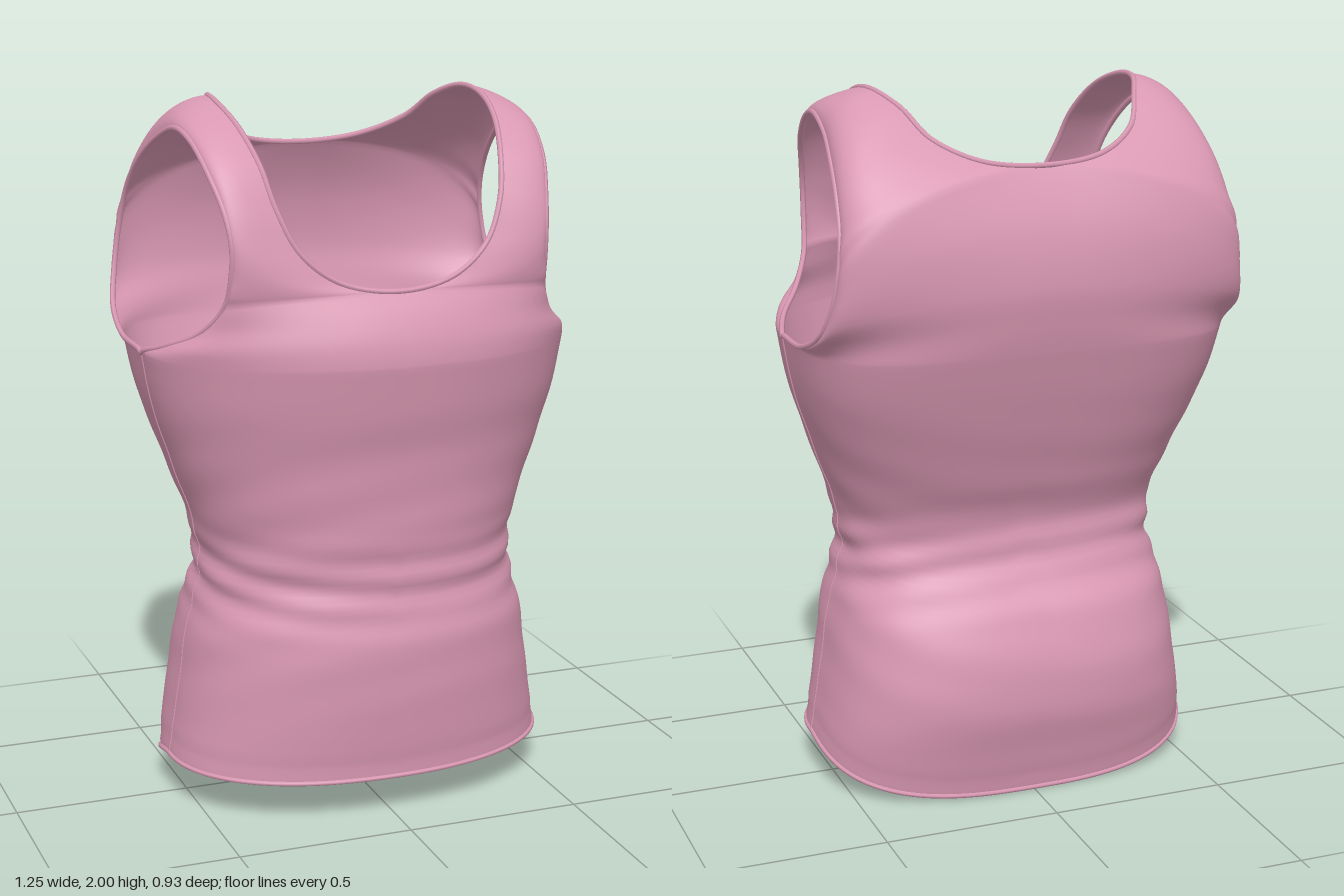
import * as THREE from 'three';
import { mergeVertices } from 'three/addons/utils/BufferGeometryUtils.js';

const COLS = 24;      // columns from centre line to side seam or armhole
const LOW = 64;       // rows from hem to armpit
const SUB = 6;        // rows between two upper sections
const TOP = 1.31;     // armpit height
const SEAM = 0.02;    // z of the side seam
const FRONT_E = .9, BACK_E = .72;   // squareness of the outlines, 1 = ellipse
const V = (x, y, z) => new THREE.Vector3(x, y, z);

// Half width, front depth and back depth at equal height steps from 0 to TOP
const body = new THREE.CatmullRomCurve3([
  V(.55, .38, -.33), V(.555, .385, -.36), V(.535, .40, -.39), V(.515, .41, -.385),
  V(.495, .41, -.345), V(.46, .385, -.27), V(.465, .39, -.25), V(.505, .40, -.30),
  V(.55, .413, -.35), V(.588, .442, -.395), V(.611, .465, -.435),
], false, 'catmullrom');

// Centre line, then neck edge, then centre line: up the front, over the strap, down the back
const inner = [
  [0, 1.38, .457], [0, 1.45, .43], [0, 1.507, .395], [.16, 1.535, .378], [.265, 1.615, .356],
  [.32, 1.73, .32], [.345, 1.84, .262], [.37, 1.93, .16], [.385, 1.982, .02],
  [.375, 1.99, -.10], [.335, 1.955, -.20], [.285, 1.885, -.29], [.17, 1.83, -.36],
  [0, 1.812, -.377], [0, 1.66, -.445], [0, 1.50, -.468], [0, 1.40, -.455],
];
// Matching points round the armhole, each with the bulge in z between the two edges
const outer = [
  [.58, 1.343, .115, 0], [.505, 1.40, .235, 0], [.46, 1.48, .305, 0], [.45, 1.57, .335, .005],
  [.45, 1.65, .338, .008], [.46, 1.73, .31, .01], [.48, 1.82, .245, .01], [.495, 1.895, .14, .008],
  [.505, 1.92, .03, 0], [.515, 1.885, -.10, -.006], [.53, 1.83, -.20, -.017],
  [.545, 1.75, -.295, -.022], [.555, 1.66, -.35, -.025], [.567, 1.57, -.37, -.05],
  [.583, 1.47, -.357, -.02], [.602, 1.385, -.305, 0], [.615, 1.327, -.17, 0],
];
const FRONT_NECK = 2, BACK_NECK = 13;   // sections whose inner end is a neck centre

// Rounded quarter outline: u = 0 at the centre, 1 at the side
function quarter(u, e) {
  const a = u * Math.PI / 2;
  const cos = u === 1 ? 0 : Math.cos(a);
  return { cos, across: Math.sin(a) ** e, depth: cos ** e };
}

const sampleRow = (pointAt) => Array.from({ length: COLS + 1 }, (_, c) => pointAt(c / COLS));

// One upper section from its inner to its outer edge
function section([ix, iy, iz], [ox, oy, oz, bulge]) {
  return sampleRow((u) => {
    const { across, depth } = quarter(u, oz < 0 ? BACK_E : FRONT_E);
    return V(ix + (ox - ix) * across, iy + (oy - iy) * u ** 1.3,
      oz + (iz - oz) * depth + bulge * Math.sin(Math.PI * u));
  });
}

// Point on the lower body, with gathered folds at the waist and soft creases elsewhere
function bodyPoint(t, u, back, side) {
  const { cos } = quarter(u, 1);
  const hem = back ? .13 - .12 * cos : .13 - .01 * cos;
  const y = hem + (TOP - hem) * t;
  const squarer = .2 * THREE.MathUtils.smoothstep(y, .75, TOP);
  const { across, depth } = quarter(u, back ? BACK_E - squarer : FRONT_E);
  const s = body.getPoint(y / TOP);
  const x = s.x * across;
  const z = ((back ? s.z : s.y) - SEAM) * depth;
  const turn = back ? -cos : cos;
  const waist = Math.exp(-(((y - .68) / .1) ** 2));
  const soft = Math.sin(Math.PI * t) ** 2;
  const fold = 1 + .015 * waist * Math.sin(68 * y + 4 * turn + 4 * side * x)
    + .005 * soft * Math.sin(38 * y - 5 * turn - 6 * side * x)
    - .006 * Math.exp(-(((y - hem - .045) / .014) ** 2));
  return V(x * fold, y, SEAM + z * fold);
}

// Smooth rows through the sections; the first and last only steer the ends
function loft(keys) {
  const spans = keys.length - 1;
  const columns = keys[0].map((_, c) => new THREE.CatmullRomCurve3(keys.map((k) => k[c])));
  return Array.from({ length: (spans - 2) * SUB + 1 }, (_, i) =>
    columns.map((curve) => curve.getPoint((i + SUB) / (spans * SUB))));
}

// Steering rows that keep the neck edge level and the panels upright at the centre
const acrossCentre = (strap, panel) => strap.map((p, c) => V(-p.x, p.y, p.z).lerp(panel[c], c / COLS));
const alongCentre = (strap) => strap.map((p, c) => V(p.x * c / COLS, p.y, p.z));

// Rows of one half, from front hem over the shoulder to back hem
function halfRows(side) {
  const lower = (back) => Array.from({ length: LOW + 1 }, (_, r) =>
    sampleRow((u) => bodyPoint(r / LOW, u, back, side)));
  const front = lower(false), rear = lower(true).reverse();
  const s = inner.map((p, i) => section(p, outer[i]));
  const f = FRONT_NECK, b = BACK_NECK;
  const chest = loft([front[LOW - 1], front[LOW], ...s.slice(0, f + 1), alongCentre(s[f + 1])]);
  const strap = loft([acrossCentre(s[f + 1], s[f - 1]), ...s.slice(f, b + 1),
    acrossCentre(s[b - 1], s[b + 1])]);
  const shoulders = loft([alongCentre(s[b - 1]), ...s.slice(b), rear[0], rear[1]]);
  const upper = [...chest.slice(0, -1), ...strap, ...shoulders.slice(1)];
  const rows = [...front.slice(0, LOW), ...upper, ...rear.slice(1)];
  for (const row of rows) for (const p of row) p.x *= side;
  return { rows, upper, strap };
}

// Both halves welded along the centre and side seams
function fabricGeometry(halves) {
  const pos = [], index = [];
  halves.forEach(({ rows }, h) => {
    const start = pos.length / 3;
    rows.forEach((row) => row.forEach((p) => pos.push(p.x, p.y, p.z)));
    for (let r = 0; r < rows.length - 1; r++) {
      for (let c = 0; c < COLS; c++) {
        const a = start + r * (COLS + 1) + c, b = a + 1, d = a + COLS + 1, e = d + 1;
        if (h === 0) index.push(a, b, e, a, e, d);
        else index.push(a, e, b, a, d, e);
      }
    }
  });
  const g = new THREE.BufferGeometry();
  g.setAttribute('position', new THREE.Float32BufferAttribute(pos, 3));
  g.setIndex(index);
  const merged = mergeVertices(g, 1e-4);
  merged.computeVertexNormals();
  return merged;
}

export function createModel() {
  const group = new THREE.Group();
  group.name = 'tankTop';
  const pink = new THREE.MeshStandardMaterial({ color: 0xd998b2, side: THREE.DoubleSide });
  pink.name = 'pink fabric';
  const add = (name, geometry) => {
    const mesh = new THREE.Mesh(geometry, pink);
    mesh.name = name;
    group.add(mesh);
  };
  const piping = (name, pts, radius, closed = true) => add(name, new THREE.TubeGeometry(
    new THREE.CatmullRomCurve3(pts, closed), pts.length * 2, radius, 6, closed));

  const halves = [halfRows(1), halfRows(-1)];
  const [left, right] = halves;
  add('fabric', fabricGeometry(halves));

  // Rolled edges of the neck and hem
  const neck = ({ strap }) => strap.map((row) => row[0]);
  piping('neckBinding', [...neck(left), ...neck(right).slice(1, -1).reverse()], .008);
  const hem = ({ rows }) => [...rows[0], ...rows[rows.length - 1].slice(0, -1).reverse()];
  piping('hemBinding', [...hem(left), ...hem(right).slice(1, -1).reverse()], .007);

  // Armhole edges and side seams
  halves.forEach(({ rows, upper }, i) => {
    const name = i === 0 ? 'left' : 'right';
    piping(name + 'ArmholeBinding', upper.slice(0, -1).map((row) => row[COLS]), .008);
    piping(name + 'SideSeam', rows.slice(0, LOW + 1).map((row) => row[COLS]), .003, false);
  });
  return group;
}
